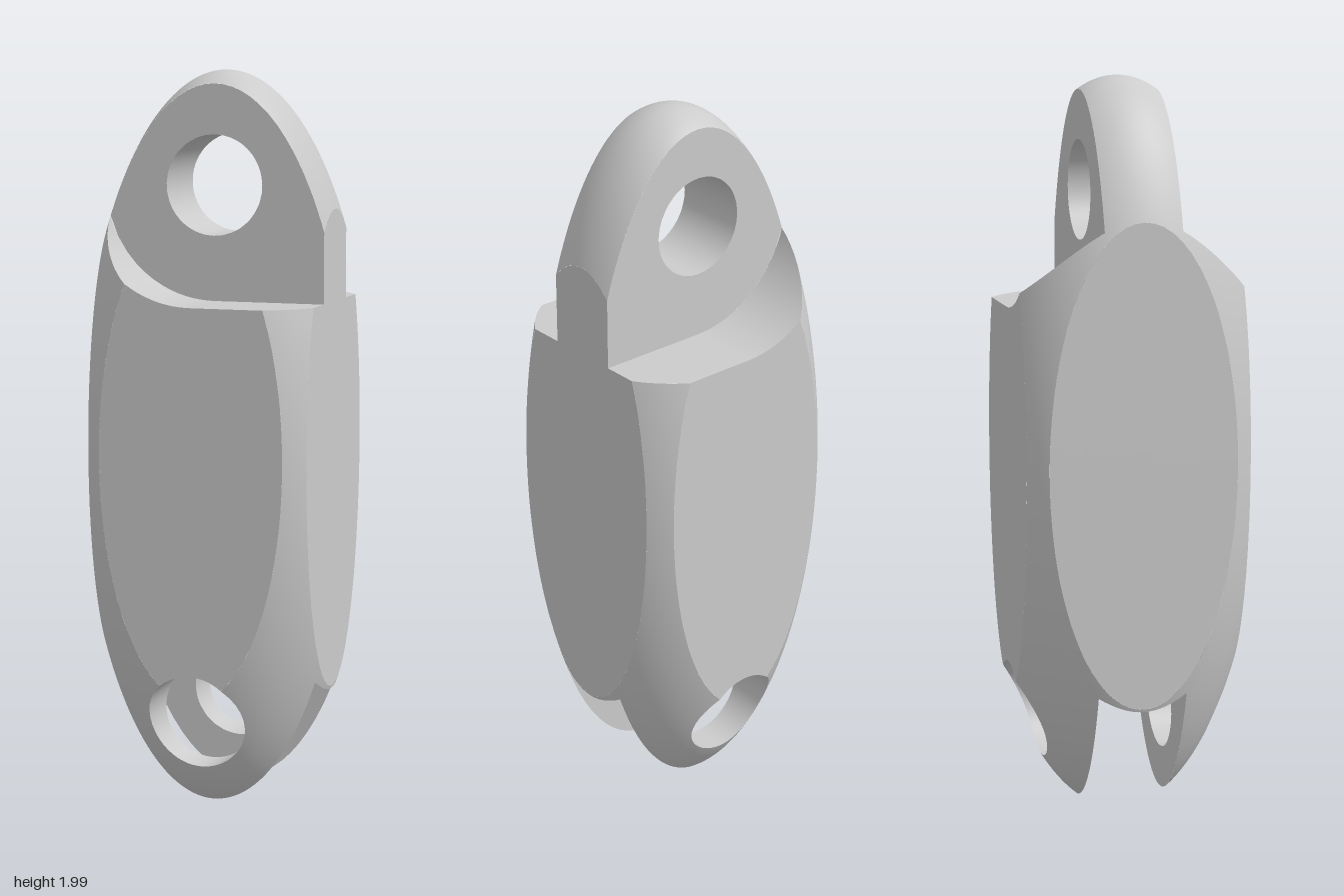
import * as THREE from 'three';

// Main dimensions
const A = 0.4, B = 1.021, CY = 0.979;      // spheroid radii and centre height
const W = 0.307;                           // half distance between opposite flats
const TANG = 0.105, SLOT = 0.122;          // half thickness of tongue, half width of slot
const TOP = 1.695, LOW = 0.26;             // pin hole heights
const HOLE = 0.135, R = 0.31;              // pin hole radius, joint clearance radius

// Rules: a surface is kept where the value is positive
const inBody = ([x, y, z]) => 1 - (x * x + z * z) / (A * A) - ((y - CY) / B) ** 2;
const inX = ([x]) => W - Math.abs(x);
const inZ = ([, , z]) => W - Math.abs(z);
const inTang = ([, , z]) => TANG - Math.abs(z);
const inSlot = ([, , z]) => SLOT - Math.abs(z);
const inRing = ([x, y]) => R - Math.hypot(x, y - LOW);
const belowShoulder = ([x, y]) => TOP - (x < 0 ? Math.sqrt(Math.max(0, R * R - x * x)) : R) - y;
const offTopHole = ([x, y]) => Math.hypot(x, y - TOP) - HOLE;
const offLowHole = ([x, y]) => Math.hypot(x, y - LOW) - HOLE;
const not = (f) => (p) => -f(p);
const either = (a, b) => [a, b];

const shoulderCut = either(inTang, belowShoulder);
const slotCut = either(not(inSlot), not(inRing));
const holes = [offTopHole, offLowHole];

// Trim triangles along the zero line of a rule
function clip(tris, f) {
  const out = [];
  for (const t of tris) {
    const d = t.map(f), poly = [];
    for (let i = 0; i < 3; i++) {
      const j = (i + 1) % 3;
      if (d[i] >= 0) poly.push(t[i]);
      if ((d[i] >= 0) !== (d[j] >= 0)) {
        const k = d[i] / (d[i] - d[j]);
        poly.push(t[i].map((v, n) => v + (t[j][n] - v) * k));
      }
    }
    for (let i = 2; i < poly.length; i++) out.push([poly[0], poly[i - 1], poly[i]]);
  }
  return out;
}

function trim(geometry, rules, inward = false) {
  const g = geometry.index ? geometry.toNonIndexed() : geometry;
  const p = g.attributes.position, n = g.attributes.normal, s = inward ? -1 : 1;
  let tris = [];
  for (let i = 0; i < p.count; i += 3) {
    const t = [i, i + 1, i + 2].map((k) => [p.getX(k), p.getY(k), p.getZ(k),
      s * n.getX(k), s * n.getY(k), s * n.getZ(k)]);
    tris.push(inward ? t.reverse() : t);
  }
  for (const rule of rules) {
    tris = Array.isArray(rule)
      ? [...clip(tris, rule[0]), ...clip(clip(tris, not(rule[0])), rule[1])]
      : clip(tris, rule);
  }
  const verts = tris.flat();
  const result = new THREE.BufferGeometry();
  result.setAttribute('position', new THREE.Float32BufferAttribute(verts.flatMap((v) => v.slice(0, 3)), 3));
  result.setAttribute('normal', new THREE.Float32BufferAttribute(verts.flatMap((v) => v.slice(3)), 3));
  return result;
}

// Upright sheet facing +z, and a tube wall along z
const sheet = () => new THREE.PlaneGeometry(0.9, 2.2, 36, 88).translate(0, 1, 0);
const bore = (r, y) => new THREE.CylinderGeometry(r, r, 0.9, 96, 36, true)
  .rotateX(Math.PI / 2).translate(0, y, 0);

export function createModel() {
  const model = new THREE.Group();
  model.name = 'chainLink';
  const material = new THREE.MeshStandardMaterial({ color: 0xcccccc });
  const add = (name, geometry, rules, inward) => {
    const mesh = new THREE.Mesh(trim(geometry, rules, inward), material);
    mesh.name = name;
    model.add(mesh);
  };

  // Rounded outer skin
  add('roundedBody', new THREE.SphereGeometry(1, 128, 112).scale(A, B, A).translate(0, CY, 0),
    [inX, inZ, shoulderCut, slotCut, ...holes]);

  // Four flats around the body
  for (let i = 0; i < 4; i++) {
    add(['frontFlat', 'leftFlat', 'backFlat', 'rightFlat'][i],
      sheet().translate(0, 0, W).rotateY(i * Math.PI / 2),
      [inBody, shoulderCut, slotCut, ...(i % 2 ? [] : holes)]);
  }

  for (const [side, turn] of [['front', 0], ['back', Math.PI]]) {
    // Tongue faces at the top
    add(side + 'TongueFace', sheet().translate(0, 0, TANG).rotateY(turn),
      [inBody, inX, not(belowShoulder), offTopHole]);
    // Inner fork faces at the bottom
    add(side + 'ForkFace', sheet().translate(0, 0, SLOT).rotateY(turn),
      [inBody, inX, inRing, offLowHole], true);
  }

  // Shoulders beside the tongue: curved on one half, level on the other
  add('curvedShoulder', bore(R, TOP), [([x]) => -x, ([, y]) => TOP - y, inBody, inX, inZ, not(inTang)], true);
  add('levelShoulder', new THREE.PlaneGeometry(0.9, 0.9, 36, 36).rotateX(-Math.PI / 2).translate(0, TOP - R, 0),
    [([x]) => x, inBody, inX, inZ, not(inTang)]);

  // Arched roof of the fork slot
  add('slotRoof', bore(R, LOW), [([, y]) => y - LOW, inBody, inX, inSlot], true);

  // Pin hole walls
  add('topPinHole', bore(HOLE, TOP), [inBody, inTang], true);
  add('bottomPinHole', bore(HOLE, LOW), [inBody, inZ, not(inSlot)], true);

  return model;
}
